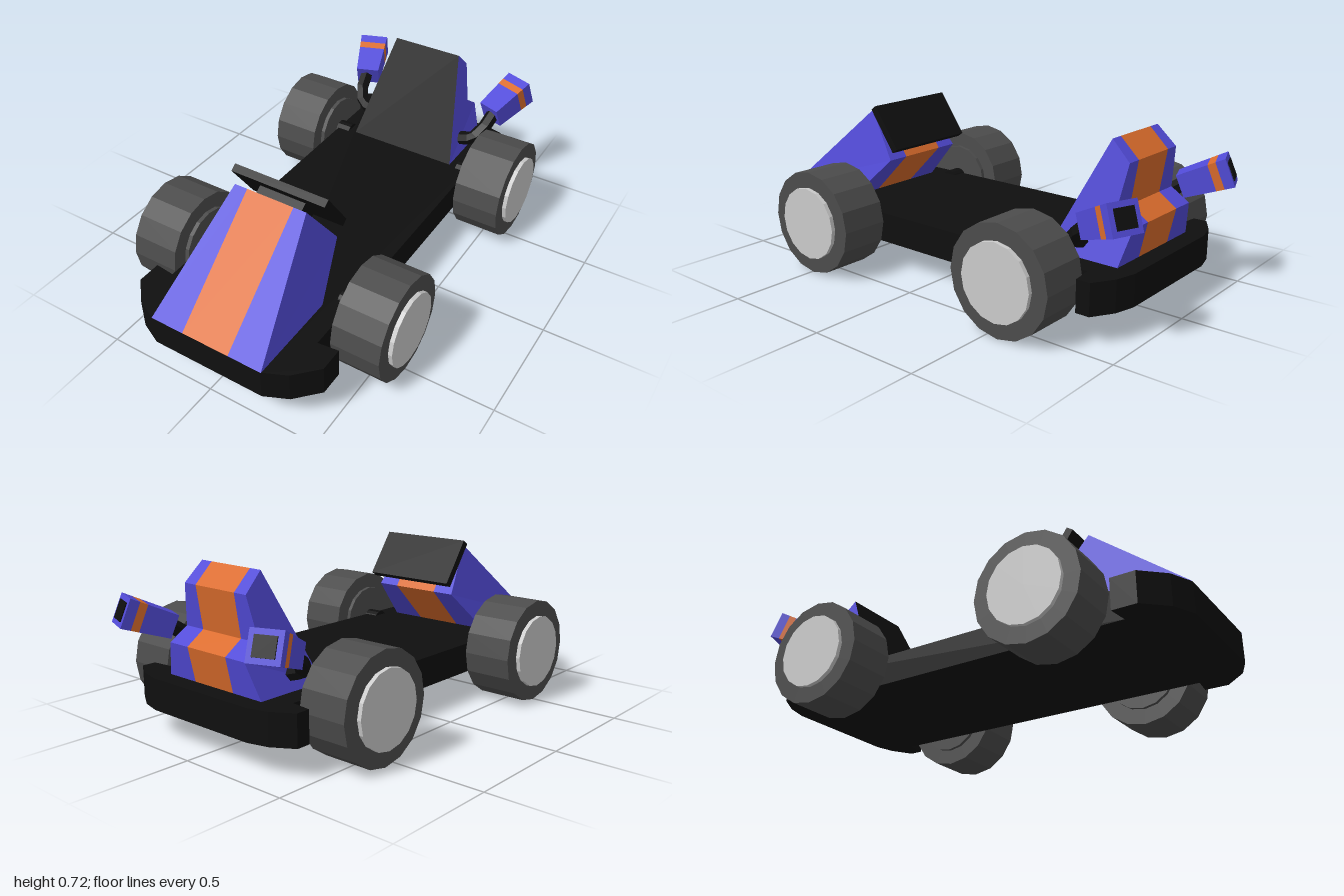
import * as THREE from 'three';

const mat = (color) => new THREE.MeshStandardMaterial({ color, flatShading: true, side: THREE.DoubleSide });
const BLACK = mat(0x0f0f0f), PURPLE = mat(0x524bd8), ORANGE = mat(0xdb6c2c);
const TYRE = mat(0x4c4c4c), GREY = mat(0xcccccc);
const STRIPE = 0.11;

function add(parent, name, geometry, material) {
  const mesh = new THREE.Mesh(geometry, material);
  mesh.name = name;
  parent.add(mesh);
  return mesh;
}

function fromPoints(points) {
  const g = new THREE.BufferGeometry();
  g.setAttribute('position', new THREE.Float32BufferAttribute(points.flat(), 3));
  g.computeVertexNormals();
  return g;
}

// Closed body from a profile of [z, y, halfWidth], ordered front base, over the top, to rear base
function stripedBody(name, profile, blackSegments = []) {
  const group = new THREE.Group();
  group.name = name;
  const paint = [], stripe = [], dark = [];
  const quad = (out, p, q, pa, pb, qa, qb) => {
    const A = [pa, p[1], p[0]], B = [pb, p[1], p[0]], C = [qb, q[1], q[0]], D = [qa, q[1], q[0]];
    out.push(A, B, C, A, C, D);
  };
  for (let i = 0; i < profile.length - 1; i++) {
    const p = profile[i], q = profile[i + 1];
    if (blackSegments.includes(i)) {
      quad(dark, p, q, -p[2], p[2], -q[2], q[2]);
    } else {
      quad(paint, p, q, -p[2], -STRIPE, -q[2], -STRIPE);
      quad(stripe, p, q, -STRIPE, STRIPE, -STRIPE, STRIPE);
      quad(paint, p, q, STRIPE, p[2], STRIPE, q[2]);
    }
  }
  // side panels
  const contour = profile.map(([z, y]) => new THREE.Vector2(z, y));
  for (const tri of THREE.ShapeUtils.triangulateShape(contour, [])) {
    const [a, b, c] = tri.map((i) => contour[i]);
    const clockwise = b.clone().sub(a).cross(c.clone().sub(a)) < 0;
    const order = clockwise ? tri : [...tri].reverse();
    const corner = (side) => (i) => [side * profile[i][2], profile[i][1], profile[i][0]];
    paint.push(...order.map(corner(1)), ...[...order].reverse().map(corner(-1)));
  }
  add(group, 'panels', fromPoints(paint), PURPLE);
  add(group, 'stripe', fromPoints(stripe), ORANGE);
  if (dark.length) add(group, 'seatBack', fromPoints(dark), BLACK);
  return group;
}

// Square tapered sleeve along z between two fractions of the exhaust length
function sleeve(length, t0, t1) {
  const g = new THREE.BoxGeometry(1, 1, (t1 - t0) * length);
  const pos = g.attributes.position;
  for (let i = 0; i < pos.count; i++) {
    const t = pos.getZ(i) > 0 ? t1 : t0;
    pos.setXYZ(i, pos.getX(i) * (0.11 + 0.025 * t), pos.getY(i) * (0.1 + 0.025 * t), t * length);
  }
  g.computeVertexNormals();
  return g;
}

function exhaust(side) {
  const group = new THREE.Group();
  group.name = side > 0 ? 'leftExhaust' : 'rightExhaust';
  const v = (x, y, z) => new THREE.Vector3(side * x, y, z);
  const path = new THREE.CurvePath();
  const bends = [v(0.2, 0.31, -0.68), v(0.31, 0.345, -0.68), v(0.345, 0.395, -0.73), v(0.36, 0.45, -0.81)];
  for (let i = 0; i < 3; i++) path.add(new THREE.LineCurve3(bends[i], bends[i + 1]));
  add(group, 'pipe', new THREE.TubeGeometry(path, 9, 0.032, 6), BLACK);

  const start = v(0.345, 0.437, -0.785), end = v(0.415, 0.517, -0.972);
  const length = start.distanceTo(end);
  const muffler = new THREE.Group();
  muffler.name = 'muffler';
  muffler.position.copy(start);
  muffler.lookAt(end);
  add(muffler, 'mufflerFront', sleeve(length, 0, 0.64), PURPLE);
  add(muffler, 'mufflerBand', sleeve(length, 0.64, 0.8), ORANGE);
  add(muffler, 'mufflerRear', sleeve(length, 0.8, 1), PURPLE);
  add(muffler, 'outlet', new THREE.BoxGeometry(0.09, 0.08, 0.01), BLACK).position.z = length;
  group.add(muffler);
  return group;
}

function wheel(side, z, name) {
  const group = new THREE.Group();
  group.name = name;
  const disc = (part, radius, x0, x1, material) => {
    const g = new THREE.CylinderGeometry(radius, radius, x1 - x0, 16).rotateZ(Math.PI / 2);
    add(group, part, g, material).position.x = side * (x0 + x1) / 2;
  };
  disc('tyre', 0.229, 0.388, 0.605, TYRE);
  disc('hubCap', 0.16, 0.5, 0.623, GREY);
  disc('innerHub', 0.16, 0.37, 0.5, TYRE);
  disc('axle', 0.045, 0.3, 0.375, BLACK);
  group.position.set(0, 0.231, z);
  return group;
}

export function createModel() {
  const model = new THREE.Group();
  model.name = 'goKart';

  // flat floor pan with a bumper at each end
  const half = [[0.26, 1], [0.36, 0.955], [0.45, 0.86], [0.45, 0.755], [0.36, 0.765],
    [0.36, -0.79], [0.45, -0.8], [0.45, -0.86], [0.36, -0.915], [0.27, -0.938]];
  const outline = [...half, ...half.map(([x, z]) => [-x, z]).reverse()];
  const shape = new THREE.Shape(outline.map(([x, z]) => new THREE.Vector2(x, -z)));
  const pan = new THREE.ExtrudeGeometry(shape, { depth: 0.133, bevelEnabled: false }).rotateX(-Math.PI / 2);
  add(model, 'floorPan', pan, BLACK).position.y = 0.125;

  // nose cone
  model.add(stripedBody('noseCone', [
    [1, 0.258, 0.265], [0.54, 0.66, 0.17], [0.39, 0.45, 0.212], [0.585, 0.258, 0.265],
  ]));

  // seat and rear cowl
  model.add(stripedBody('rearCowl', [
    [-0.535, 0.258, 0.265], [-0.755, 0.72, 0.167], [-0.838, 0.64, 0.175],
    [-0.81, 0.46, 0.21], [-0.89, 0.405, 0.215], [-0.858, 0.258, 0.265],
  ], [0]));

  // steering plate on a short block
  const steering = new THREE.Group();
  steering.name = 'steering';
  steering.position.set(0, 0.593, 0.415);
  steering.rotation.x = 0.615;
  add(steering, 'steeringPlate', new THREE.BoxGeometry(0.445, 0.225, 0.034), BLACK);
  add(steering, 'steeringBlock', new THREE.BoxGeometry(0.22, 0.1, 0.06), BLACK).position.set(0, 0, 0.04);
  model.add(steering);

  for (const side of [1, -1]) {
    const label = side > 0 ? 'Left' : 'Right';
    model.add(wheel(side, 0.493, 'front' + label + 'Wheel'));
    model.add(wheel(side, -0.558, 'rear' + label + 'Wheel'));
    model.add(exhaust(side));
  }
  return model;
}
